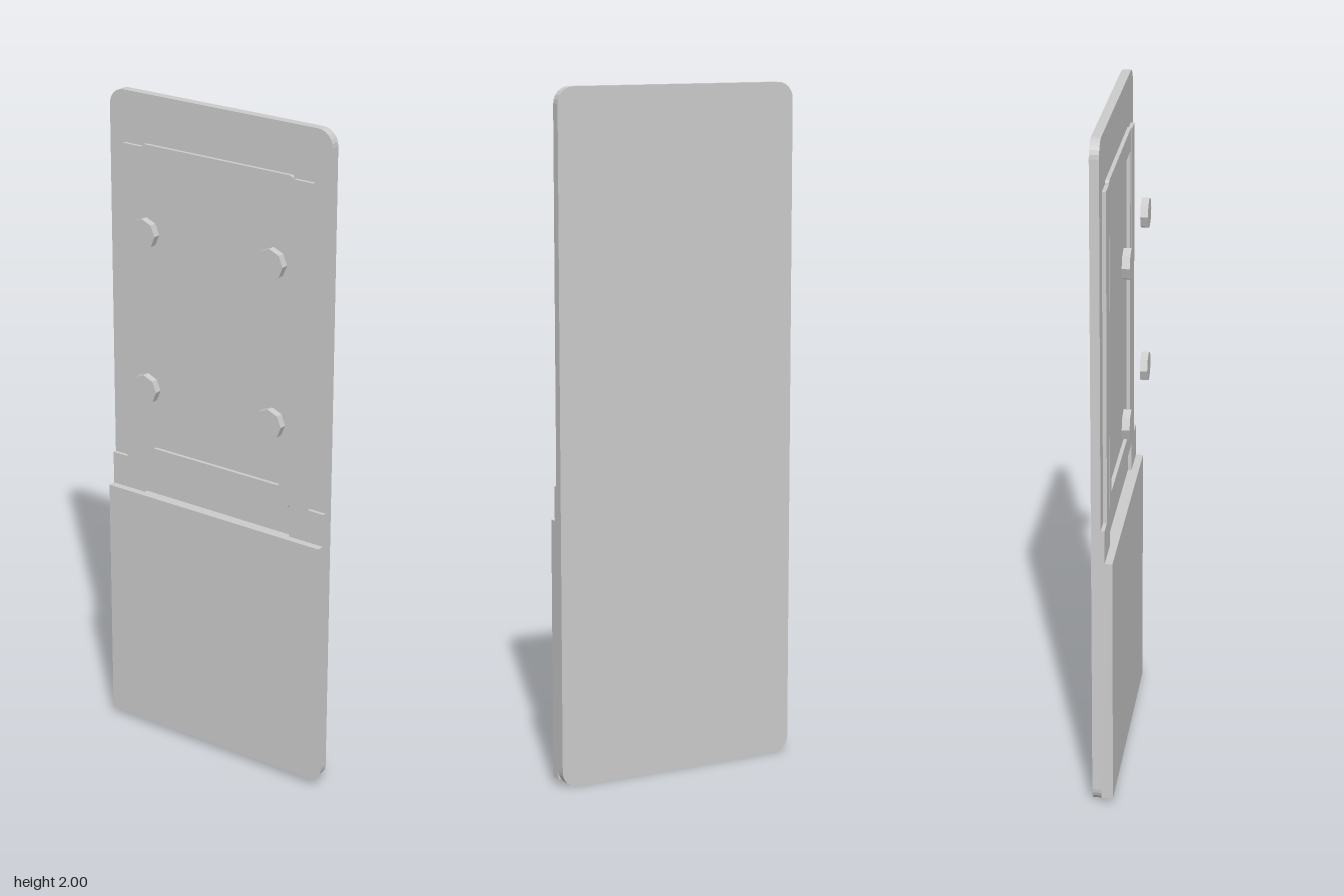
import * as THREE from 'three';

const material = new THREE.MeshStandardMaterial({ color: 0xcccccc, flatShading: true });

// Rectangle outline with rounded corners, drawn counter-clockwise
function roundedRect(x0, y0, x1, y1, r) {
  const s = new THREE.Shape();
  s.absarc(x1 - r, y0 + r, r, -Math.PI / 2, 0);
  s.absarc(x1 - r, y1 - r, r, 0, Math.PI / 2);
  s.absarc(x0 + r, y1 - r, r, Math.PI / 2, Math.PI);
  s.absarc(x0 + r, y0 + r, r, Math.PI, Math.PI * 1.5);
  s.closePath();
  return s;
}

export function createModel() {
  const group = new THREE.Group();
  const halfW = 0.379, back = -0.048, face = -0.021, raised = -0.01;

  function add(name, geometry) {
    const mesh = new THREE.Mesh(geometry, material);
    mesh.name = name;
    group.add(mesh);
    return mesh;
  }
  // Extrude an outline from z0 to z1
  function slab(name, shape, z0, z1, curveSegments = 3) {
    const g = new THREE.ExtrudeGeometry(shape, { depth: z1 - z0, bevelEnabled: false, curveSegments });
    return add(name, g.translate(0, 0, z0));
  }

  // Backing plate with rounded corners
  slab('backPlate', roundedRect(-halfW, 0, halfW, 2, 0.048), back, face);

  // Thicker lower panel
  const lower = add('lowerPanel', new THREE.BoxGeometry(halfW * 2, 0.76, 0.033));
  lower.position.set(0, 0.4, face + 0.0165);

  // L-shaped rails beside the frame
  for (const side of [-1, 1]) {
    const pts = [[0.262, 0.78], [halfW, 0.78], [halfW, 0.88], [0.325, 0.88], [0.325, 1.848], [0.262, 1.848]];
    const rail = new THREE.Shape(pts.map(([x, y]) => new THREE.Vector2(side * x, y)));
    slab(side > 0 ? 'leftRail' : 'rightRail', rail, face, raised);
  }

  // Window frame with a recessed centre
  const frame = roundedRect(-0.258, 0.867, 0.257, 1.857, 0.008);
  frame.holes.push(new THREE.Path([
    [-0.226, 0.93], [-0.226, 1.793], [0.223, 1.793], [0.223, 0.93],
  ].map(([x, y]) => new THREE.Vector2(x, y))));
  slab('windowFrame', frame, face, raised, 2);

  // Four octagonal studs standing clear of the frame
  for (const x of [-0.218, 0.222]) {
    for (const y of [1.138, 1.612]) {
      const stud = add('stud', new THREE.CylinderGeometry(0.045, 0.045, 0.022, 8));
      stud.rotation.x = Math.PI / 2;
      stud.position.set(x, y, 0.035);
    }
  }
  return group;
}
